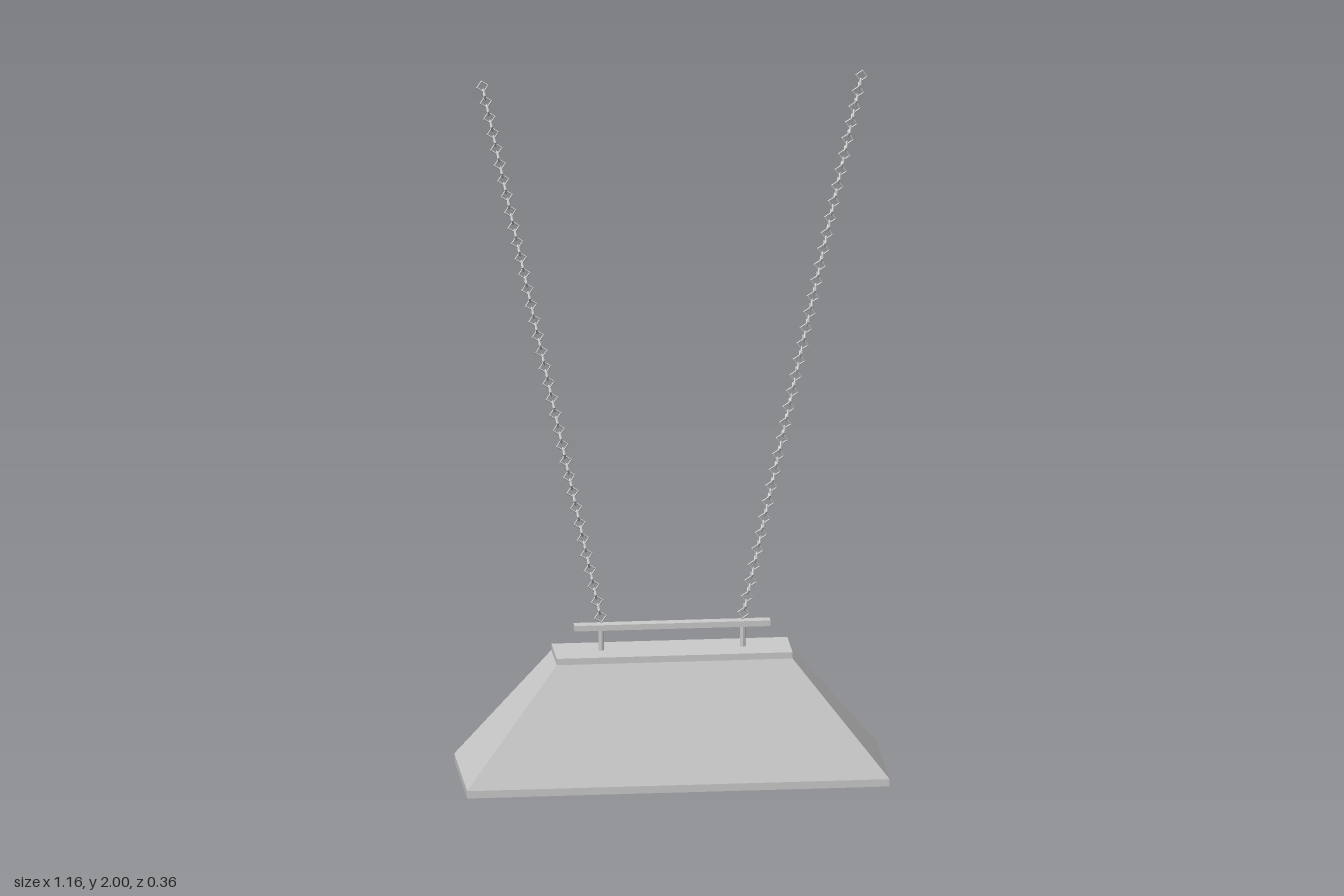
import * as THREE from 'three';

const material = new THREE.MeshStandardMaterial({ color: 0xcccccc, flatShading: true });

function add(parent, geometry, name, x = 0, y = 0, z = 0) {
  const mesh = new THREE.Mesh(geometry, material);
  mesh.name = name;
  mesh.position.set(x, y, z);
  parent.add(mesh);
  return mesh;
}

// Skins a stack of rectangular sections [halfWidth, y, halfDepth], capping both ends
function rectangularShell(sections) {
  const positions = [];
  const rings = sections.map(([w, y, d]) => [[w, y, d], [w, y, -d], [-w, y, -d], [-w, y, d]]);
  const quad = (a, b, c, d) => positions.push(...a, ...b, ...c, ...a, ...c, ...d);
  for (let i = 0; i < rings.length - 1; i++) {
    for (let k = 0; k < 4; k++) {
      const n = (k + 1) % 4;
      quad(rings[i][k], rings[i][n], rings[i + 1][n], rings[i + 1][k]);
    }
  }
  const first = rings[0], last = rings[rings.length - 1];
  quad(first[3], first[2], first[1], first[0]);
  quad(last[0], last[1], last[2], last[3]);
  const geometry = new THREE.BufferGeometry();
  geometry.setAttribute('position', new THREE.Float32BufferAttribute(positions, 3));
  geometry.computeVertexNormals();
  return geometry;
}

// Chain of square links, each turned a quarter from the one before
function createChain(start, end, pairs) {
  const chain = new THREE.Group();
  const link = new THREE.TorusGeometry(0.0155, 0.0028, 4, 4);
  const count = pairs * 2 - 1;
  const length = start.distanceTo(end);
  for (let i = 0; i < count; i++) {
    const mesh = add(chain, link, 'chainLink', 0, (length * i) / (count - 1), 0);
    mesh.rotation.y = (i % 2) * Math.PI / 2;
  }
  chain.position.copy(start);
  chain.rotation.z = -Math.atan2(end.x - start.x, end.y - start.y);
  return chain;
}

export function createModel() {
  const lamp = new THREE.Group();
  lamp.name = 'hangingLamp';

  // Hollow shade: inner ceiling down to the rim, then up the outside to the top
  add(lamp, rectangularShell([
    [0.315, 0.342, 0.063],
    [0.57, 0.02, 0.168],
    [0.57, 0, 0.168],
    [0.582, 0, 0.18],
    [0.582, 0.021, 0.18],
    [0.325, 0.342, 0.073],
    [0.325, 0.36, 0.073],
  ]), 'shade');

  // Crossbar above the shade
  add(lamp, new THREE.BoxGeometry(0.54, 0.016, 0.03), 'crossbar', 0, 0.427, 0);

  // Posts and chains, one on each side
  for (const side of [-1, 1]) {
    add(lamp, new THREE.CylinderGeometry(0.008, 0.008, 0.08, 8), 'post', side * 0.195, 0.395, 0);
    const chain = createChain(
      new THREE.Vector3(side * 0.197, 0.455, 0),
      new THREE.Vector3(side * 0.522, 1.983, 0),
      35
    );
    chain.name = side > 0 ? 'leftChain' : 'rightChain';
    lamp.add(chain);
  }
  return lamp;
}
